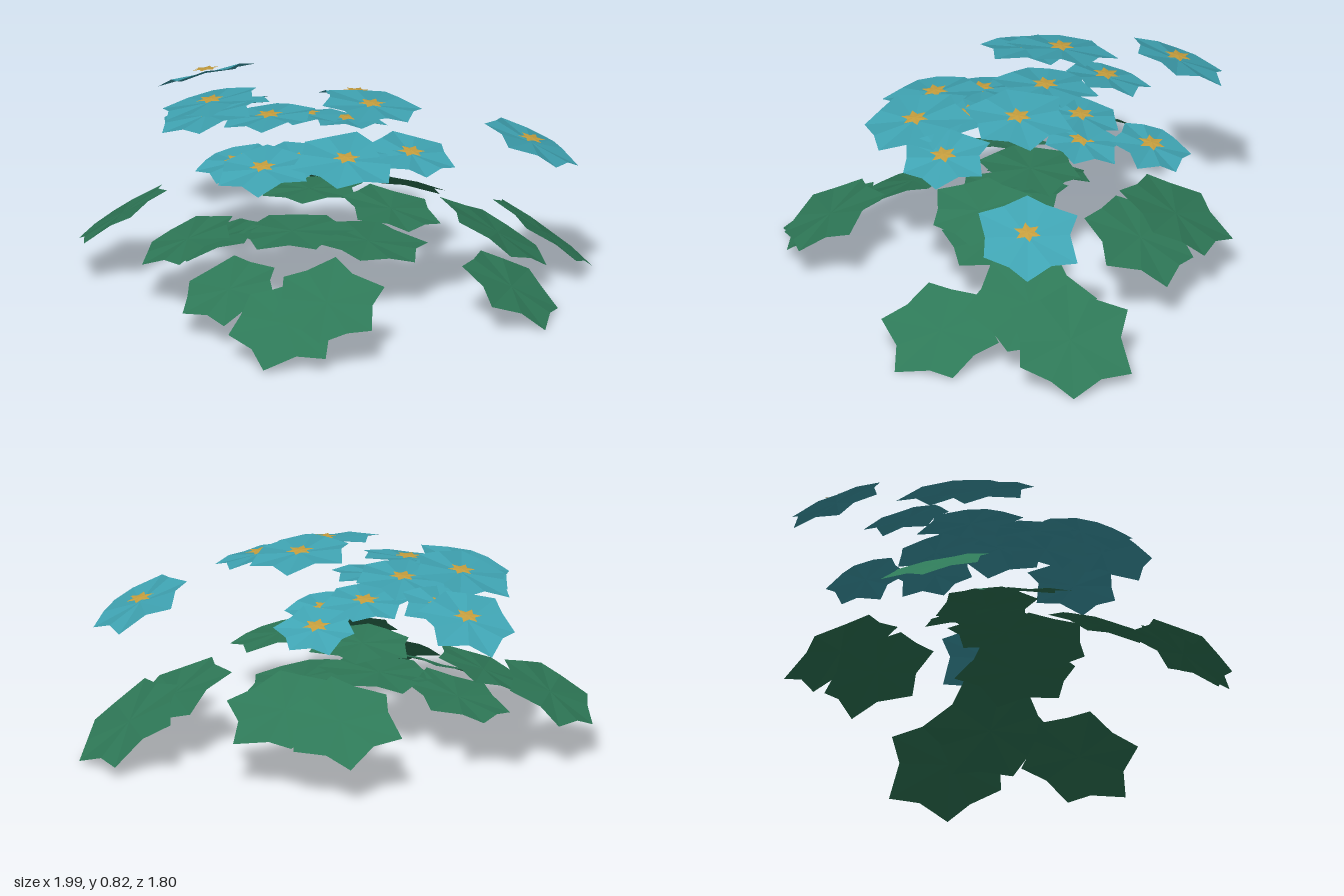
import * as THREE from 'three';

const mat = (name, color) => {
  const m = new THREE.MeshStandardMaterial({ color, flatShading: true, side: THREE.DoubleSide });
  m.name = name;
  return m;
};

// Radial fan: points are [angle, radius, height] around a centre
function fan(points, centreHeight) {
  const pos = [];
  const at = ([a, r, h]) => [Math.cos(a) * r, h, Math.sin(a) * r];
  points.forEach((p, i) => {
    const next = points[(i + 1) % points.length];
    pos.push(0, centreHeight, 0, ...at(next), ...at(p));
  });
  const g = new THREE.BufferGeometry();
  g.setAttribute('position', new THREE.Float32BufferAttribute(pos, 3));
  g.computeVertexNormals();
  return g;
}

// Six broad, slightly uneven pointed lobes; every second ridge is lifted a little
const LOBES = [1.06, 0.97, 0.92, 1.03, 0.94, 1.06];
function lobedPlate(radius, fold) {
  const pts = [];
  LOBES.forEach((s, i) => {
    const a = (i * Math.PI) / 3;
    pts.push([a, radius * s, -fold]);
    pts.push([a + 0.45, radius * 0.78, fold * 0.5]);
  });
  return fan(pts, 0);
}

// Small six-pointed star
function starPlate(radius) {
  const pts = [];
  for (let i = 0; i < 12; i++) pts.push([(i * Math.PI) / 6 + Math.PI / 6, i % 2 ? radius * 0.52 : radius, 0]);
  return fan(pts, 0.003);
}

// Place a piece on the dome, tilted outward in proportion to its distance
function place(obj, x, y, z, slope) {
  obj.position.set(x, y, z);
  const n = new THREE.Vector3(x * slope, 1, z * slope).normalize();
  obj.quaternion.setFromUnitVectors(new THREE.Vector3(0, 1, 0), n);
}

// x, y, z, radius, direction of first lobe in degrees
const LEAVES = [
  [-0.82, 0.28, -0.01, 0.23, -61],
  [-0.15, 0.30, -0.69, 0.25, -115],
  [0.10, 0.31, -0.63, 0.25, 10],
  [0.77, 0.18, -0.58, 0.265, -87],
  [0.65, 0.24, -0.36, 0.26, -120],
  [0.81, 0.14, -0.04, 0.24, 90],
  [-0.48, 0.28, 0.19, 0.22, 82],
  [-0.22, 0.19, 0.46, 0.22, 80],
  [0.09, 0.16, 0.69, 0.24, 94],
  [0.25, 0.25, 0.64, 0.235, -40],
  [-0.06, 0.44, -0.10, 0.22, 20],
  [0.31, 0.425, -0.02, 0.215, -70],
  // inner leaves beneath the flowers
  [0.20, 0.26, -0.06, 0.25, -40],
  [-0.10, 0.29, 0.00, 0.24, 50],
  [-0.43, 0.22, 0.00, 0.23, 100],
];
const FLOWERS = [
  [-0.63, 0.72, -0.52, 0.21, -77],
  [-0.03, 0.66, -0.63, 0.17, 57],
  [0.02, 0.655, -0.35, 0.17, -70],
  [-0.13, 0.68, -0.29, 0.18, 150],
  [-0.45, 0.69, -0.28, 0.18, -55],
  [-0.47, 0.77, -0.08, 0.22, -107],
  [-0.23, 0.73, -0.10, 0.21, -100],
  [0.19, 0.81, -0.14, 0.22, -94],
  [0.43, 0.71, 0.09, 0.19, -70],
  [-0.04, 0.655, 0.15, 0.19, -60],
  [-0.27, 0.635, 0.19, 0.18, 100],
  [-0.12, 0.67, 0.33, 0.205, 78],
  [0.22, 0.73, 0.29, 0.23, -38],
  [0.78, 0.625, -0.40, 0.22, -81],
  [-0.45, 0.76, 0.04, 0.215, 20],
];

export function createModel() {
  const group = new THREE.Group();
  group.name = 'flowerCluster';
  const green = mat('leafGreen', 0x2e7857);
  const teal = mat('petalTeal', 0x3fa3b2);
  const gold = mat('centreGold', 0xc79f3e);

  // A lobed plate on the dome
  const addPlate = (name, [x, y, z, r, deg], fold, slope, material) => {
    const holder = new THREE.Group();
    holder.name = name;
    const plate = new THREE.Mesh(lobedPlate(r, fold), material);
    plate.name = name + 'Blade';
    plate.rotation.y = -THREE.MathUtils.degToRad(deg);
    holder.add(plate);
    place(holder, x, y, z, slope);
    group.add(holder);
  };

  // Lower dome of leaves
  for (const leaf of LEAVES) addPlate('leaf', leaf, 0.006, 0.8, green);

  // Upper dome of flowers, each with a flatter star just above its centre
  for (const flower of FLOWERS) {
    addPlate('flower', flower, 0.009, 0.57, teal);
    const [x, y, z] = flower;
    const star = new THREE.Mesh(starPlate(0.058), gold);
    star.name = 'flowerCentre';
    place(star, x, y + 0.006 + 0.016 * Math.hypot(x, z), z, 0.28);
    group.add(star);
  }
  return group;
}
